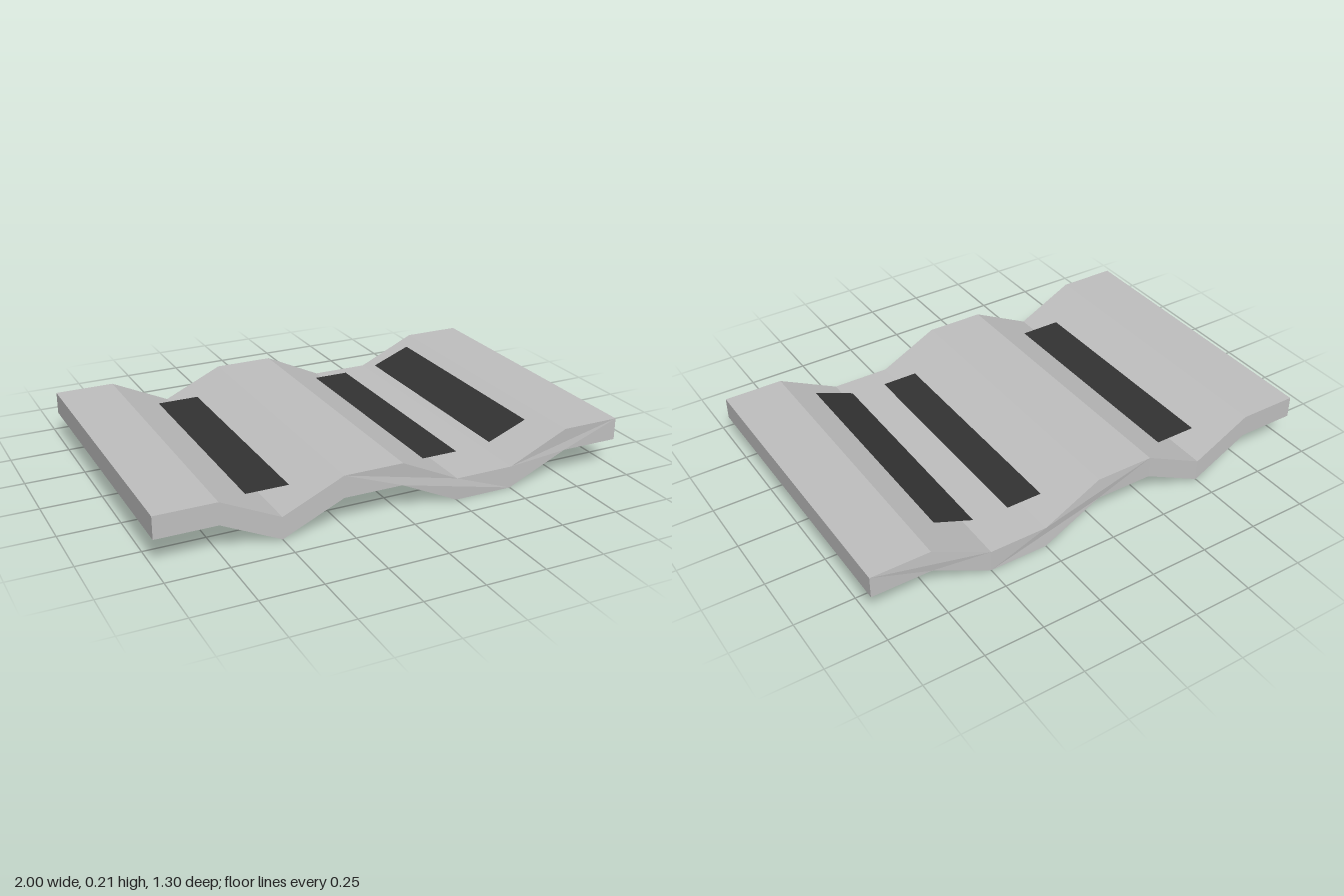
import * as THREE from 'three';

const THICK = 0.093, HIGH = 0.12, LOW = 0;

export function createModel() {
  const group = new THREE.Group();
  const sheetGrey = new THREE.MeshStandardMaterial({ color: 0xc0c0c0 });
  sheetGrey.name = 'sheetGrey';
  const stripDark = new THREE.MeshStandardMaterial({ color: 0x333333, side: THREE.DoubleSide });
  stripDark.name = 'stripDark';

  // Folded sheet: underside heights at equal steps along x, offset up by the thickness
  const heights = [HIGH, HIGH, LOW, HIGH, HIGH, LOW, LOW, HIGH, HIGH];
  const bottom = heights.map((y, i) => new THREE.Vector2(-1 + i * 0.25, y));
  const top = bottom.map((p) => new THREE.Vector2(p.x, p.y + THICK)).reverse();
  const sheetGeo = new THREE.ExtrudeGeometry(new THREE.Shape([...bottom, ...top]), {
    depth: 1.288, bevelEnabled: false,
  });

  // The low folds sit slightly further back than the high ones
  const pos = sheetGeo.attributes.position;
  for (let i = 0; i < pos.count; i++) {
    const low = heights[Math.round((pos.getX(i) + 1) / 0.25)] === LOW;
    pos.setZ(i, pos.getZ(i) - (low ? 0.648 : 0.64));
  }
  sheetGeo.computeVertexNormals();
  const sheet = new THREE.Mesh(sheetGeo, sheetGrey);
  sheet.name = 'foldedSheet';
  group.add(sheet);

  // Thin dark strips spanning the valleys: start x, y and end x, y
  const strips = [
    ['rightStrip', -0.585, 0.139, -0.405, 0.139],
    ['middleStrip', 0.18, 0.131, 0.335, 0.131],
    ['leftStrip', 0.49, 0.142, 0.66, 0.21],
  ];
  for (const [name, x0, y0, x1, y1] of strips) {
    const geo = new THREE.PlaneGeometry(Math.hypot(x1 - x0, y1 - y0), 0.995);
    geo.rotateX(-Math.PI / 2);
    const strip = new THREE.Mesh(geo, stripDark);
    strip.name = name;
    strip.rotation.z = Math.atan2(y1 - y0, x1 - x0);
    strip.position.set((x0 + x1) / 2, (y0 + y1) / 2, -0.008);
    group.add(strip);
  }
  return group;
}
